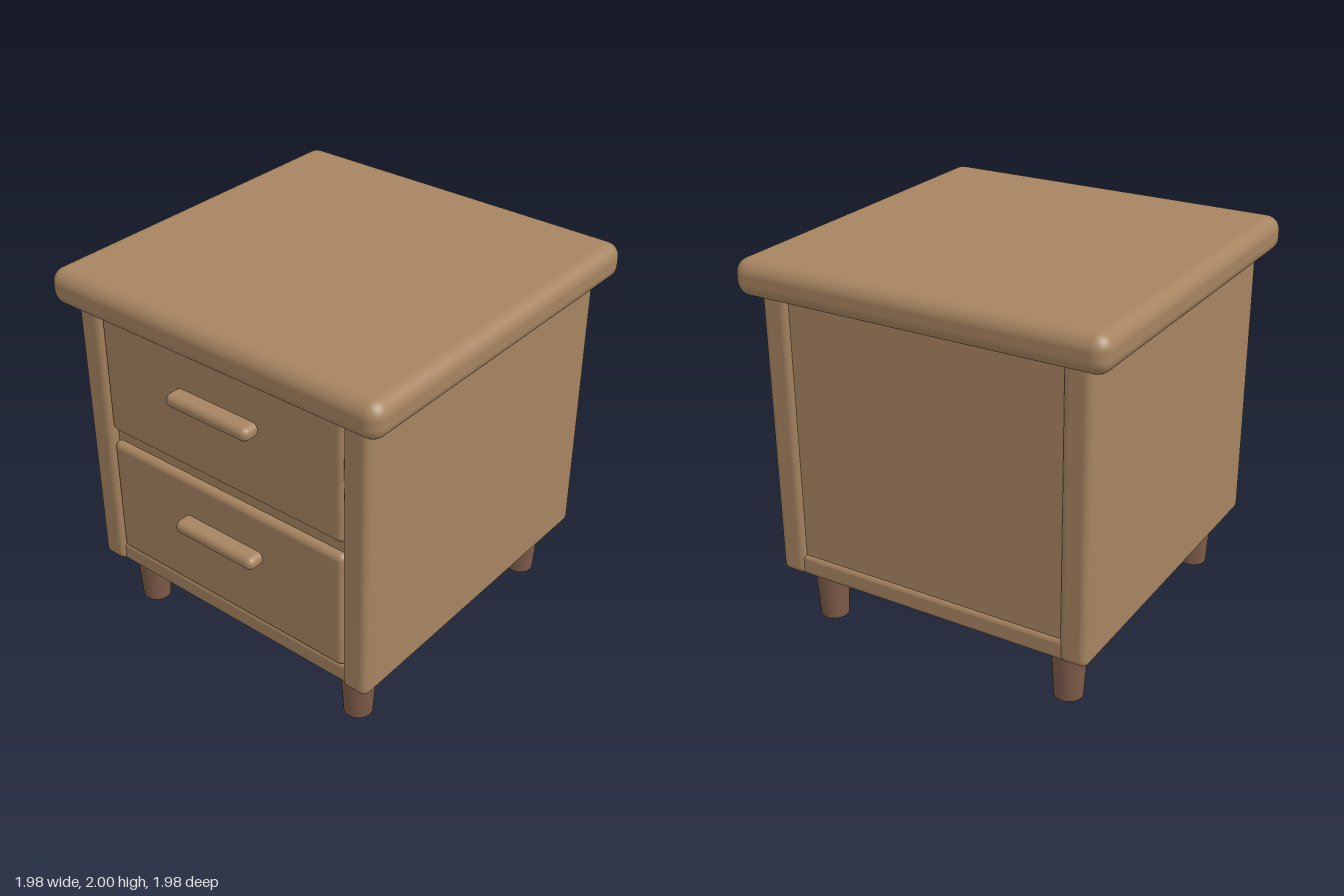
import * as THREE from 'three';
import { RoundedBoxGeometry } from 'three/addons/geometries/RoundedBoxGeometry.js';

export function createModel() {
  const model = new THREE.Group();
  model.name = 'nightstand';

  const wood = new THREE.MeshStandardMaterial({ color: 0xa68460 });
  wood.name = 'warm wood';
  const darkWood = new THREE.MeshStandardMaterial({ color: 0x7d5b49 });
  darkWood.name = 'dark wood';

  // Rounded board given by its minimum and maximum corners
  function board(name, [x0, y0, z0], [x1, y1, z1], radius) {
    const geometry = new RoundedBoxGeometry(x1 - x0, y1 - y0, z1 - z0, 5, radius);
    const mesh = new THREE.Mesh(geometry, wood);
    mesh.position.set((x0 + x1) / 2, (y0 + y1) / 2, (z0 + z1) / 2);
    mesh.name = name;
    model.add(mesh);
  }

  // Carcass
  board('top', [-0.99, 1.81, -0.99], [0.99, 2, 0.99], 0.075);
  board('leftSide', [0.74, 0.3, -0.91], [0.89, 1.85, 0.91], 0.04);
  board('rightSide', [-0.89, 0.3, -0.91], [-0.74, 1.85, 0.91], 0.04);
  board('bottomShelf', [-0.78, 0.3, -0.9], [0.78, 0.42, 0.89], 0.03);
  board('backPanel', [-0.78, 0.36, -0.885], [0.78, 1.85, -0.8], 0.02);
  board('middleRail', [-0.76, 1.04, 0.7], [0.76, 1.17, 0.86], 0.02);

  // Drawers with bar handles
  for (const [name, y] of [['lowerDrawer', 0.405], ['upperDrawer', 1.14]]) {
    board(name, [-0.745, y, -0.7], [0.745, y + 0.665, 0.9], 0.035);
    board(name + 'Handle', [-0.255, y + 0.375, 0.87], [0.255, y + 0.448, 0.985], 0.034);
  }

  // Tapered legs
  const legGeometry = new THREE.CylinderGeometry(0.094, 0.074, 0.32, 32);
  for (const x of [-0.708, 0.708]) {
    for (const z of [-0.73, 0.73]) {
      const leg = new THREE.Mesh(legGeometry, darkWood);
      leg.position.set(x, 0.16, z);
      leg.name = (z > 0 ? 'front' : 'back') + (x > 0 ? 'Left' : 'Right') + 'Leg';
      model.add(leg);
    }
  }
  return model;
}
